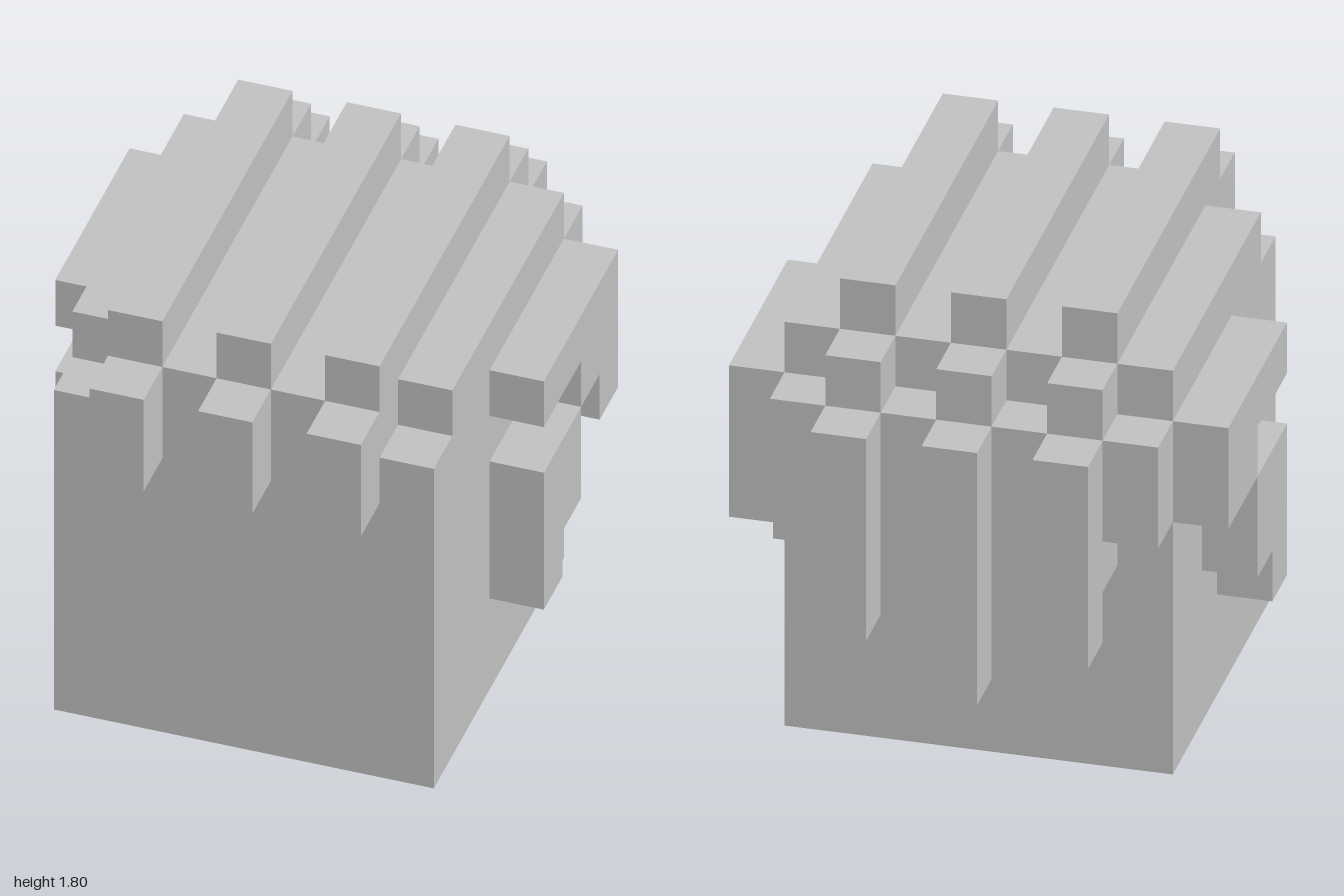
import * as THREE from 'three';

export function createModel() {
  const model = new THREE.Group();
  model.name = 'blockHead';
  const grey = new THREE.MeshStandardMaterial({ color: 0xc0c0c0 });
  grey.name = 'plain grey';

  // Box given by its [min, max] range on each axis
  function block(name, [x0, x1], [y0, y1], [z0, z1]) {
    const mesh = new THREE.Mesh(new THREE.BoxGeometry(x1 - x0, y1 - y0, z1 - z0), grey);
    mesh.position.set((x0 + x1) / 2, (y0 + y1) / 2, (z0 + z1) / 2);
    mesh.name = name;
    model.add(mesh);
  }

  // Head, and hair cap on top and at the back
  block('head', [-0.7, 0.7], [0, 1.4], [-0.6, 0.8]);
  block('hairCap', [-0.5, 0.5], [1.4, 1.6], [-0.6, 0.8]);
  block('backHair', [-0.5, 0.5], [0.8, 1.4], [-0.8, -0.6]);

  // Three hair rows: ridge, front fringe, rear step and hanging strand
  for (const x of [-0.4, 0, 0.4]) {
    const across = [x - 0.1, x + 0.1];
    block('ridge', across, [1.6, 1.8], [-0.6, 0.8]);
    block('fringe', across, [1.2, 1.6], [0.8, 1]);
    block('rearStep', across, [1.4, 1.6], [-0.8, -0.6]);
    block('backStrand', across, [x === 0 ? 0.4 : 0.6, 1.4], [-1, -0.8]);
  }

  // Outer hair rows and side locks
  for (const side of [-1, 1]) {
    const span = (a, b) => (side > 0 ? [a, b] : [-b, -a]);
    const edge = span(0.5, 0.7);
    const out = span(0.7, 0.9);
    block('outerRow', edge, [1.4, 1.6], [-0.6, 0.6]);
    block('outerBackHair', edge, [1, 1.4], [-0.8, -0.6]);
    block('sideLock', out, [1.2, 1.4], [-0.6, 0.2]);
    block('sideLockRear', out, [1, 1.2], [-0.6, -0.2]);
    block('ear', out, [0.6, 1], [-0.2, 0.2]);
    block('earLobe', out, [0.4, 0.6], [0, 0.2]);
  }
  // The left lock hangs one step lower
  block('leftLockTip', [0.7, 0.9], [0.8, 1], [-0.6, -0.4]);

  return model;
}
